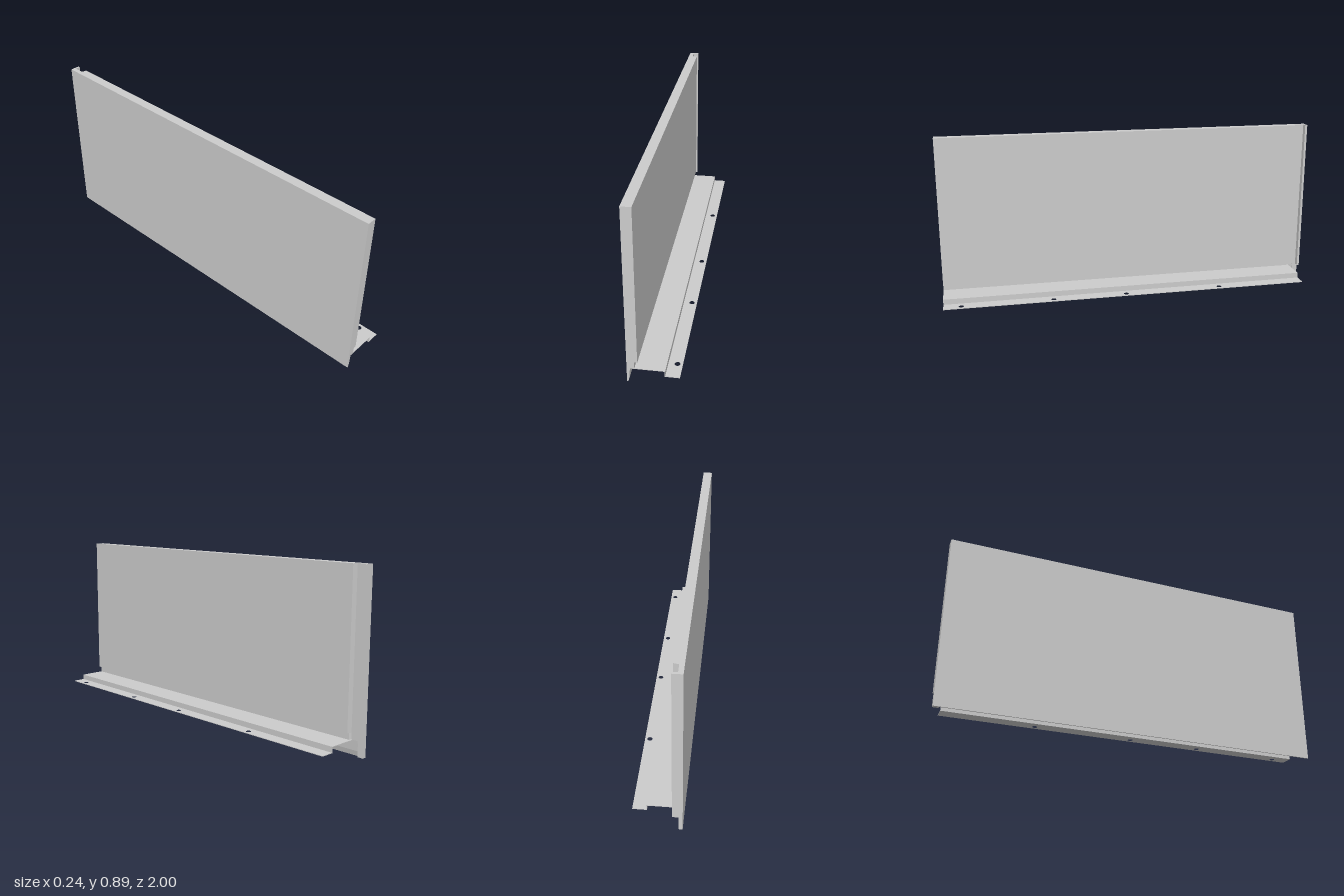
import * as THREE from 'three';

const material = new THREE.MeshStandardMaterial({ color: 0xcccccc, flatShading: true });

// Vertical extrusion of a plan outline given as [x, z] points
function slab(name, plan, y0, y1, holes = []) {
  const shape = new THREE.Shape(plan.map(([x, z]) => new THREE.Vector2(x, -z)));
  for (const [x, z, r] of holes) {
    shape.holes.push(new THREE.Path().absarc(x, -z, r, 0, Math.PI * 2, true));
  }
  const geometry = new THREE.ExtrudeGeometry(shape, { depth: y1 - y0, bevelEnabled: false, curveSegments: 12 });
  geometry.rotateX(-Math.PI / 2).translate(0, y0, 0);
  const mesh = new THREE.Mesh(geometry, material);
  mesh.name = name;
  return mesh;
}

// Extrusion along z of a section outline given as [x, y] points
function rail(name, section, z0, z1) {
  const shape = new THREE.Shape(section.map(([x, y]) => new THREE.Vector2(x, y)));
  const geometry = new THREE.ExtrudeGeometry(shape, { depth: z1 - z0, bevelEnabled: false });
  geometry.translate(0, 0, z0);
  const mesh = new THREE.Mesh(geometry, material);
  mesh.name = name;
  return mesh;
}

const rect = (a0, b0, a1, b1) => [[a0, b0], [a1, b0], [a1, b1], [a0, b1]];

export function createModel() {
  const group = new THREE.Group();
  group.name = 'wallPanel';
  const back = -0.12, face = -0.071, lap = -0.097;
  const seat = 0.077, sheet = 0.003;

  // Panel with a hooked lap joint at its far end
  group.add(slab('panel', [
    [back, 1], [face, 1], [face, -0.93], [lap, -0.935],
    [lap, -0.988], [face, -0.988], [face, -1], [back, -1],
  ], 0.11, 0.89));

  // Recessed foot of the panel, with the hook carried down
  group.add(slab('panelFoot', [
    [back, 1], [-0.085, 1], [-0.085, -0.93], [lap, -0.935],
    [lap, -0.988], [face, -0.988], [face, -1], [back, -1],
  ], seat, 0.11));

  // Tapered skirt below the panel
  group.add(rail('skirt', [
    [back, 0], [-0.114, 0], [-0.108, 0.025], [-0.105, seat], [back, seat],
  ], -0.97, 1));
  group.add(rail('skirtEnd', rect(back, 0, -0.1, seat), -1, -0.97));

  // Stepped mounting flange
  group.add(slab('flangeShelf', rect(-0.107, -0.94, 0.053, 1), seat - sheet, seat));
  group.add(rail('flangeStep', rect(0.05, 0.046, 0.053, seat - sheet), -0.94, 1));
  const holes = [-0.465, 0.05, 0.437, 0.91].map((z) => [0.094, z, 0.013]);
  group.add(slab('flangeEdge', rect(0.053, -0.94, 0.119, 1), 0.046, 0.046 + sheet, holes));

  return group;
}
